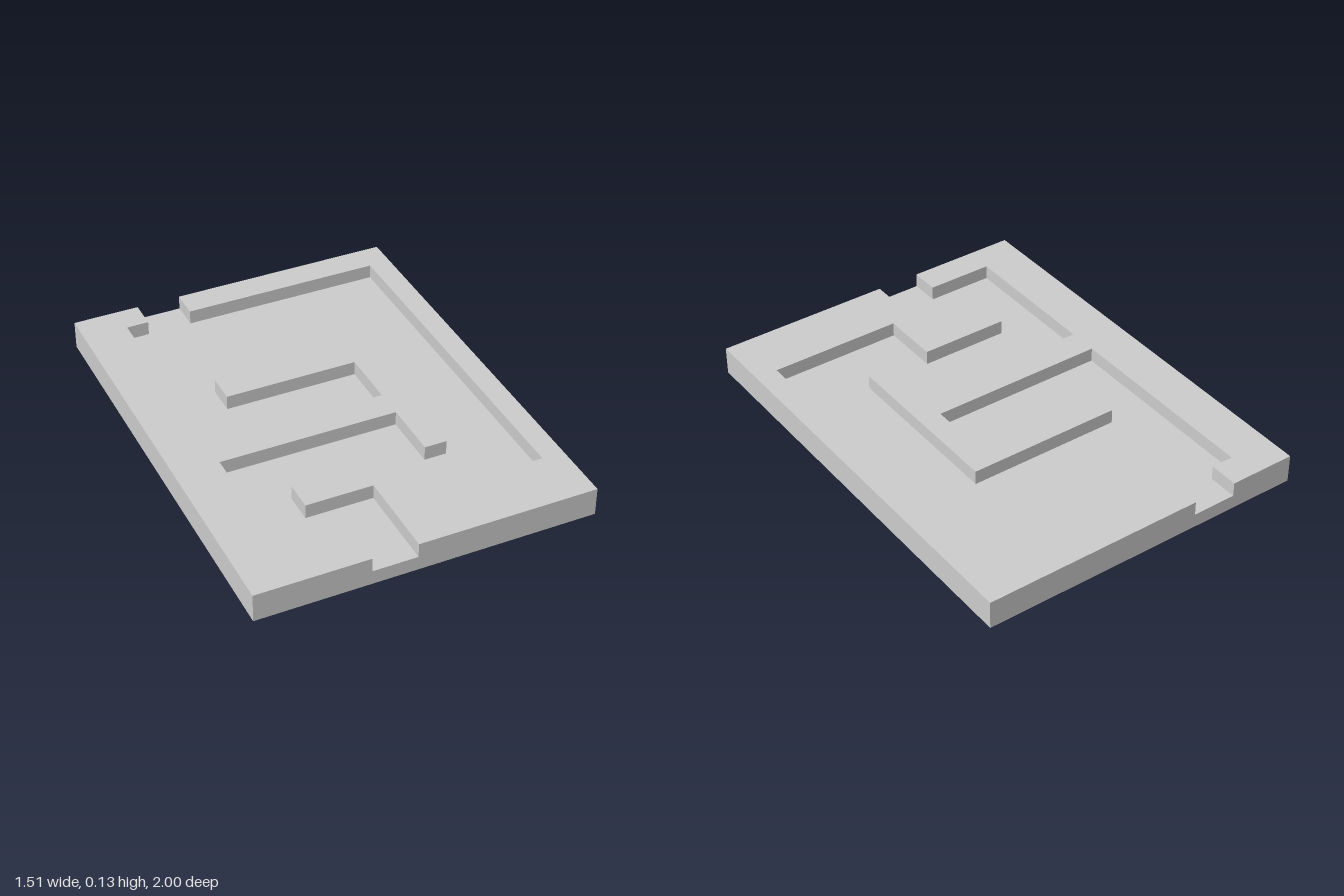
import * as THREE from 'three';

const HALF_X = 0.753, HALF_Z = 1, FLOOR = 0.0645, TOP = 0.129, CELLS = 15;

// Wall outlines in grid cells: [column from the right-hand side (-x), row from the back (-z)]
const WALLS = {
  rightWall: [
    [0, 0], [3, 0], [3, 1], [2, 1], [2, 8], [10, 8], [10, 6], [4, 6], [4, 5], [11, 5],
    [11, 11], [10, 11], [10, 9], [2, 9], [2, 14], [5, 14], [5, 15], [0, 15],
  ],
  leftWall: [
    [15, 0], [5, 0], [5, 1], [14, 1], [14, 13], [8, 13], [8, 11], [4, 11], [4, 12],
    [7, 12], [7, 15], [15, 15],
  ],
};

export function createModel() {
  const group = new THREE.Group();
  group.name = 'mazeTile';
  const material = new THREE.MeshStandardMaterial({ color: 0xcccccc, flatShading: true });

  const add = (name, geometry, y) => {
    const mesh = new THREE.Mesh(geometry, material);
    mesh.name = name;
    mesh.position.y = y;
    group.add(mesh);
  };

  // Base slab whose top is the path floor
  add('base', new THREE.BoxGeometry(2 * HALF_X, FLOOR, 2 * HALF_Z), FLOOR / 2);

  // Raised walls on either side of the winding path
  for (const [name, cells] of Object.entries(WALLS)) {
    const points = cells.map(([c, r]) => new THREE.Vector2(
      HALF_X * (2 * c / CELLS - 1), HALF_Z * (1 - 2 * r / CELLS)));
    const geometry = new THREE.ExtrudeGeometry(new THREE.Shape(points),
      { depth: TOP - FLOOR, bevelEnabled: false });
    add(name, geometry.rotateX(-Math.PI / 2), FLOOR);
  }
  return group;
}
